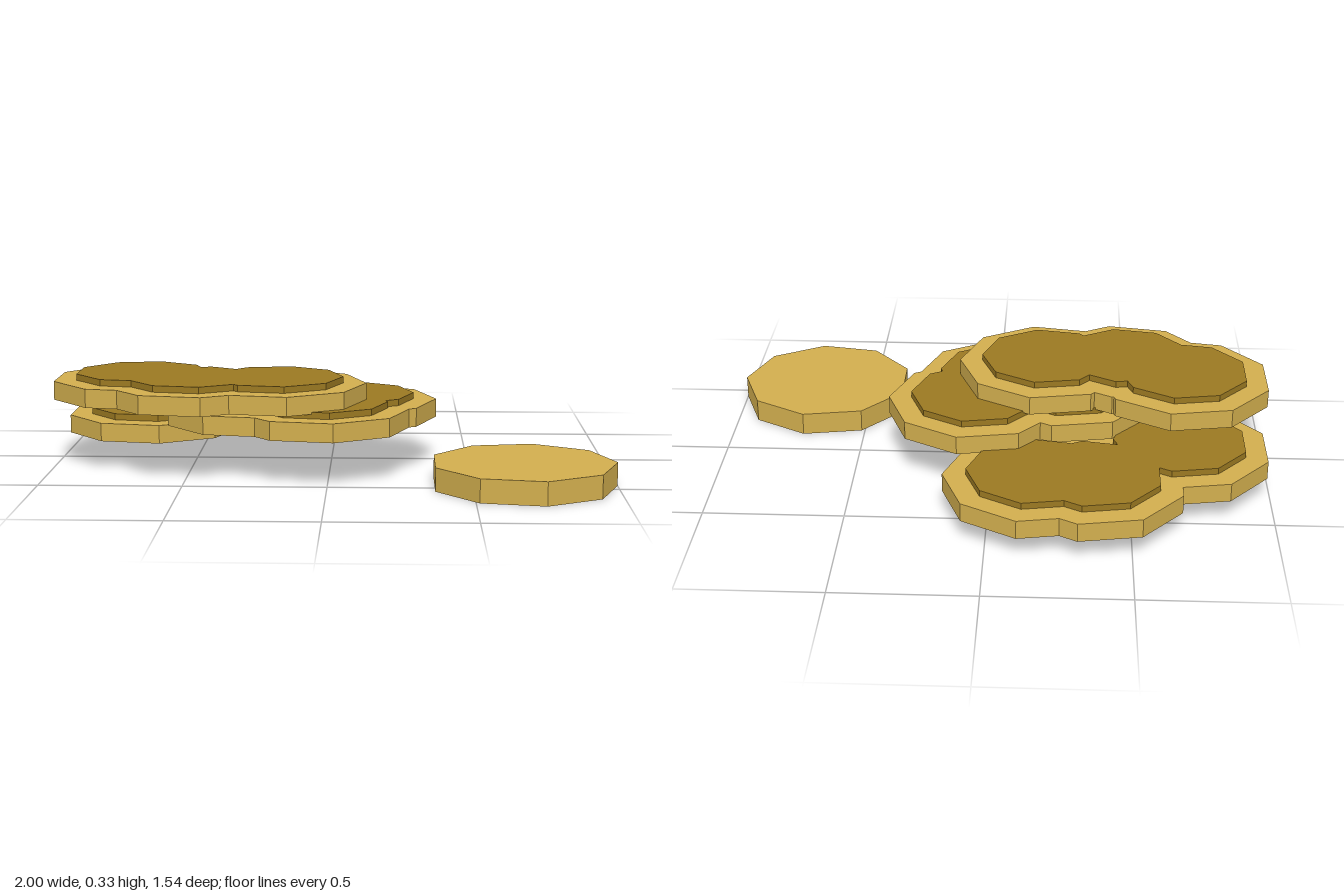
import * as THREE from 'three';

const SIDES = 9;
const OUTER = 0.325;
const INNER = 0.242;

export function createModel() {
  const gold = new THREE.MeshStandardMaterial({ color: 0xd2ae4e });
  gold.name = 'gold';
  const darkGold = new THREE.MeshStandardMaterial({ color: 0x9b7922 });
  darkGold.name = 'dark gold';

  const model = new THREE.Group();
  model.name = 'goldPieces';

  // Nine-sided disc with one corner pointing to +x
  function disc(name, radius, x, z, bottom, top, material) {
    const geo = new THREE.CylinderGeometry(radius, radius, top - bottom, SIDES, 1, false, Math.PI / 2).toNonIndexed();
    geo.computeVertexNormals();
    const mesh = new THREE.Mesh(geo, material);
    mesh.name = name;
    mesh.position.set(x, (bottom + top) / 2, z);
    return mesh;
  }

  // Loose plain disc on the ground
  model.add(disc('looseDisc', OUTER, 0.675, 0.445, 0, 0.083, gold));

  // Stacked layers: three merged lobes, each with a raised dark centre
  const layers = [
    { name: 'bottomLayer', y: 0.076, lobes: [[-0.165, -0.44], [-0.37, -0.45], [-0.682, -0.19]] },
    { name: 'middleLayer', y: 0.159, lobes: [[0.06, 0], [-0.035, 0.205], [-0.275, 0.105]] },
    { name: 'topLayer', y: 0.242, lobes: [[-0.695, 0.05], [-0.195, 0.16], [-0.49, 0.178]] },
  ];
  for (const { name, y, lobes } of layers) {
    const layer = new THREE.Group();
    layer.name = name;
    for (const [x, z] of lobes) {
      layer.add(disc('rimLobe', OUTER, x, z, y, y + 0.067, gold));
      layer.add(disc('raisedCentre', INNER, x, z, y + 0.03, y + 0.09, darkGold));
    }
    model.add(layer);
  }
  return model;
}
